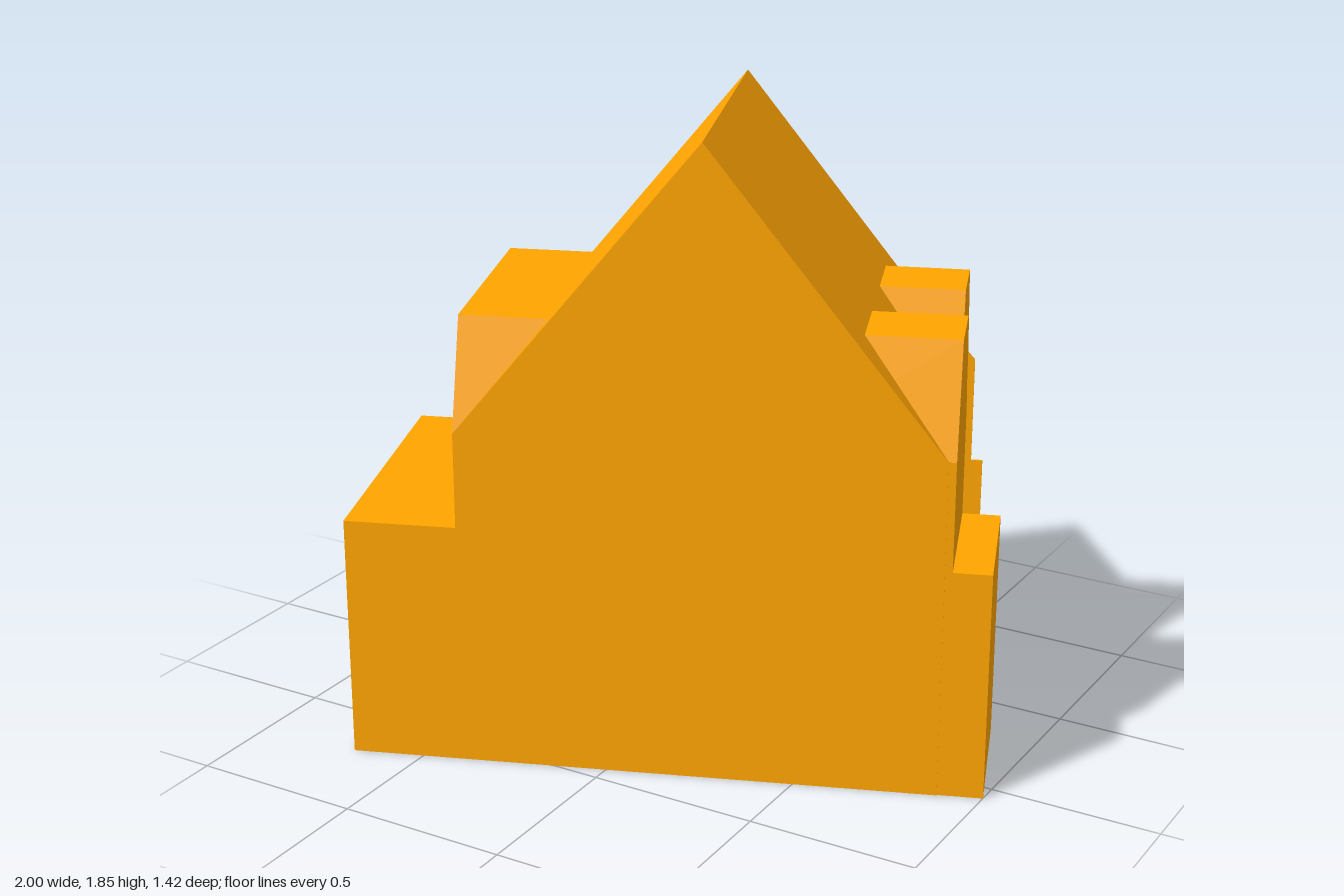
import * as THREE from 'three';

const material = new THREE.MeshStandardMaterial({ color: 0xffa500, flatShading: true });

// Extrudes an outline from depth a to depth b along local z.
function prism(points, a, b) {
  const shape = new THREE.Shape(points.map(([x, y]) => new THREE.Vector2(x, y)));
  const geometry = new THREE.ExtrudeGeometry(shape, { depth: b - a, bevelEnabled: false });
  return geometry.translate(0, 0, a);
}

export function createModel() {
  const house = new THREE.Group();
  house.name = 'house';
  const EAVE = 1.0, DORMER_TOP = 1.31, FRONT = 0.417, BACK = -0.442;

  function add(name, geometry) {
    const mesh = new THREE.Mesh(geometry, material);
    mesh.name = name;
    house.add(mesh);
  }

  // Dormer with sloping cheeks, running along x from x0 to x1; base is the foot of its wall.
  function dormer(name, x0, x1, zBack, zFront, base) {
    const inset = 0.108;
    const outline = [
      [-zFront, base], [-zBack, base], [-zBack, EAVE],
      [-zBack - inset, DORMER_TOP], [-zFront + inset, DORMER_TOP], [-zFront, EAVE],
    ];
    if (base === EAVE) outline.splice(0, 2);
    add(name, prism(outline, x0, x1).rotateY(Math.PI / 2));
  }

  // Gabled body with the low flat-roofed annex on one side
  add('mainBody', prism([
    [-0.9, 0], [0.783, 0], [0.783, EAVE], [0.115, 1.85],
    [-0.578, EAVE], [-0.578, 0.72], [-0.9, 0.72],
  ], BACK, FRONT));

  // Wide dormer above the annex, two narrow ones on the other slope
  dormer('wideDormer', -0.578, -0.1, BACK, FRONT, EAVE);
  dormer('frontDormer', 0.3, 0.804, -0.012, 0.414, 0);
  dormer('backDormer', 0.3, 0.783, BACK, -0.028, EAVE);

  // Low bay under the front dormer
  add('bay', new THREE.BoxGeometry(0.214, 0.68, 0.428).translate(0.806, 0.34, 0.2));

  // Thin stepped edge of the rear wall
  add('rearWallEdge', prism([
    [0.7, 0], [0.838, 0], [0.838, 0.68], [0.804, 0.68], [0.804, EAVE], [0.775, 1.03], [0.7, 1.03],
  ], BACK - 0.002, BACK + 0.004));

  // The house stands turned on its plot
  house.rotation.y = 0.365;
  const model = new THREE.Group();
  model.name = 'model';
  model.add(house);
  return model;
}
